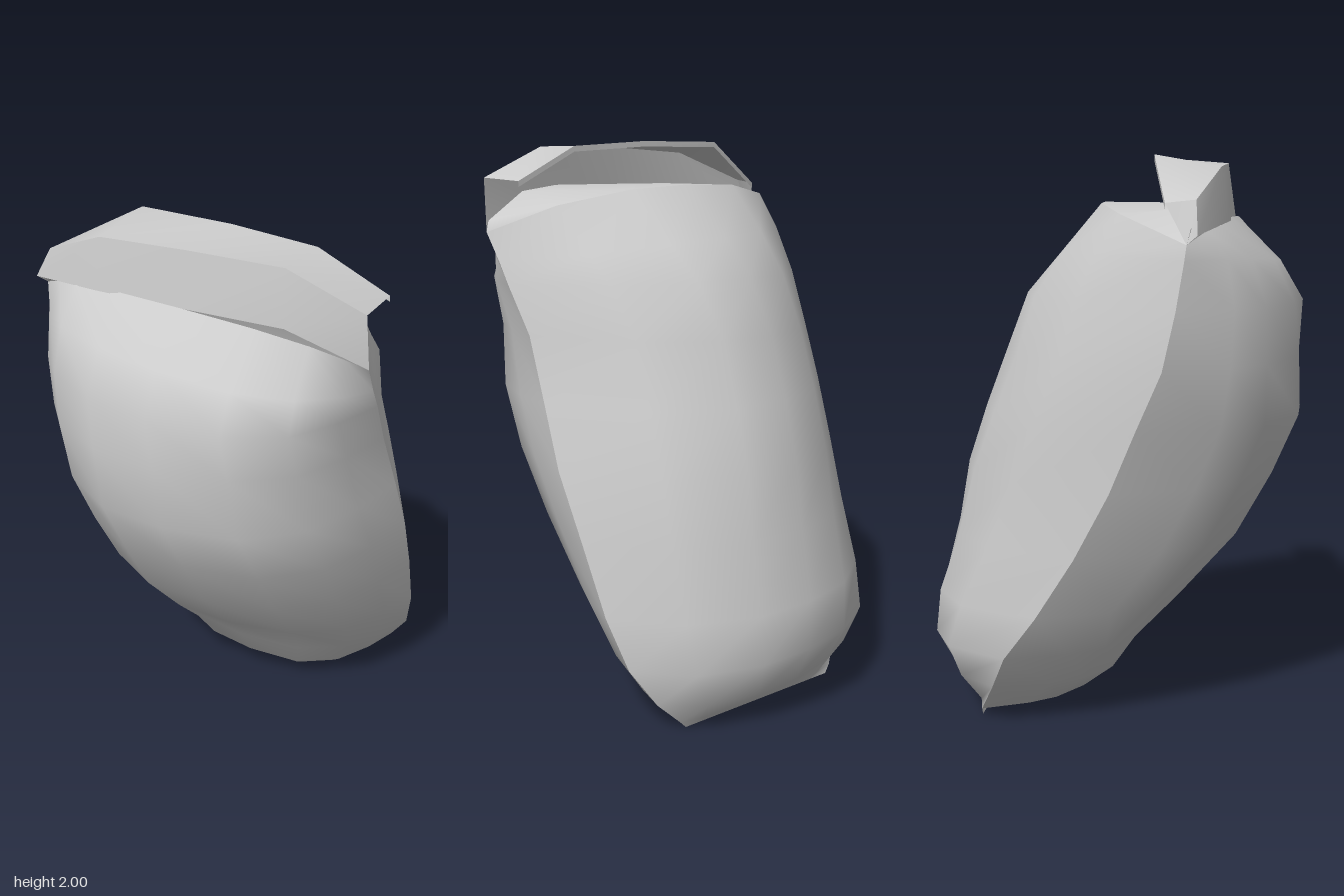
import * as THREE from 'three';

const material = new THREE.MeshStandardMaterial({ color: 0xcccccc, side: THREE.DoubleSide });

// Skin through rows of equally many points, smooth inside and sharp at its borders
function loft(name, rows) {
  const n = rows[0].length, index = [];
  for (let i = 0; i < rows.length - 1; i++) {
    for (let j = 0; j < n - 1; j++) {
      const a = i * n + j, b = a + n;
      index.push(a, b, a + 1, b, b + 1, a + 1);
    }
  }
  const geometry = new THREE.BufferGeometry();
  geometry.setAttribute('position', new THREE.Float32BufferAttribute(rows.flat(2), 3));
  geometry.setIndex(index);
  geometry.computeVertexNormals();
  const mesh = new THREE.Mesh(geometry, material);
  mesh.name = name;
  return mesh;
}

// Bulge profiles between the front and back seam: [position along chord, share of bulge]
const leftProfile = [[0, 0], [0.12, 0.62], [0.31, 0.94], [0.5, 1], [0.685, 0.93], [0.87, 0.65], [1, 0]];
const rightProfile = [[0, 0], [0.05, 0.36], [0.13, 0.72], [0.28, 0.96], [0.49, 1], [0.68, 0.93],
  [0.84, 0.7], [0.92, 0.45], [1, 0]];

// One section of a shell: bulge sideways from the seam chord, lift at its middle,
// skew to shift the fullness towards the back
function section(front, back, profile, [bulge, lift, skew], side) {
  const dx = back[0] - front[0], dy = back[1] - front[1], dz = back[2] - front[2];
  const length = Math.hypot(dx, dz);
  return profile.map(([t, share]) => {
    const out = side * bulge * share * (1 + skew * (t - 0.5)) / length;
    return [front[0] + dx * t - dz * out, front[1] + dy * t + lift * share, front[2] + dz * t + dx * out];
  });
}

// From top to keel: front seam, back seam, then bulge, lift and skew of the left and right half
const levels = [
  [[-0.09, 1.68, 0.66], [-0.5, 1.71, -0.54], [0.36, 0.15, 0], [0.12, 0.1, 0]],
  [[-0.035, 1.58, 0.63], [-0.495, 1.66, -0.545], [0.49, 0.04, -0.15], [0.31, 0.02, -0.1]],
  [[0.01, 1.5, 0.61], [-0.475, 1.5, -0.565], [0.57, 0.02, -0.2], [0.43, 0, -0.1]],
  [[0.1, 1.33, 0.56], [-0.44, 1.31, -0.59], [0.57, 0, -0.2], [0.495, 0, 0]],
  [[0.2, 1.1, 0.537], [-0.35, 1.11, -0.6], [0.56, 0, -0.15], [0.6, 0, 0.1]],
  [[0.29, 0.88, 0.515], [-0.26, 0.9, -0.61], [0.545, 0, -0.1], [0.59, 0, 0.2]],
  [[0.385, 0.65, 0.465], [-0.14, 0.67, -0.635], [0.475, 0, 0], [0.57, 0, 0.3]],
  [[0.475, 0.4, 0.41], [0, 0.45, -0.655], [0.42, 0, 0.1], [0.49, 0, 0.35]],
  [[0.53, 0.22, 0.345], [0.12, 0.29, -0.67], [0.335, 0, 0.1], [0.435, 0, 0.3]],
  [[0.55, 0.09, 0.25], [0.2, 0.16, -0.62], [0.215, 0, 0], [0.41, 0, 0.2]],
  [[0.56, 0.02, 0.17], [0.3, 0.03, -0.54], [0.04, 0, 0], [0.36, 0.015, 0]],
  [[0.56, 0, 0.15], [0.31, 0, -0.52], [0, 0, 0], [0, 0, 0]],
];

export function createModel() {
  const model = new THREE.Group();
  model.name = 'pod';

  // Two bulging halves that meet in a sharp seam and keel
  const left = levels.map(([f, b, l]) => section(f, b, leftProfile, l, 1));
  const right = levels.map(([f, b, , r]) => section(f, b, rightProfile, r, -1));
  model.add(loft('leftShell', left), loft('rightShell', right));

  // Flat lid over the left half, running under the ridge to its wall
  const lidEdge = [[-0.1, 1.72, 0.65], [-0.2, 1.82, 0.5], [-0.28, 1.84, 0.35], [-0.39, 1.84, 0.1],
    [-0.47, 1.84, -0.15], [-0.5, 1.83, -0.35], [-0.51, 1.76, -0.53]];
  model.add(loft('lid', [left[0], lidEdge]));

  // Arched ridge overhanging the lid
  const ridge = new THREE.Group();
  ridge.name = 'ridge';
  const base = [[-0.09, 1.68, 0.66], [-0.25, 1.79, 0.44], [-0.4, 1.79, 0.1], [-0.51, 1.78, -0.22],
    [-0.54, 1.74, -0.545]];
  const outer = [[-0.11, 1.87, 0.66], [-0.23, 1.98, 0.42], [-0.37, 1.98, 0.1], [-0.48, 1.96, -0.22],
    [-0.51, 1.85, -0.49]];
  const inner = [[0.07, 1.86, 0.58], [-0.03, 1.98, 0.35], [-0.14, 2, 0.05], [-0.26, 2, -0.28],
    [-0.41, 1.84, -0.51]];
  const lip = inner.map(([x, y, z]) => [x, y - 0.02, z]);
  ridge.add(
    loft('ridgeWall', [base, outer]),
    loft('ridgeTop', [outer, inner]),
    loft('ridgeLip', [inner, lip]),
    loft('ridgeBackEnd', [[base[4], outer[4]], [[-0.5, 1.71, -0.54], inner[4]]]),
  );
  model.add(ridge);
  return model;
}
